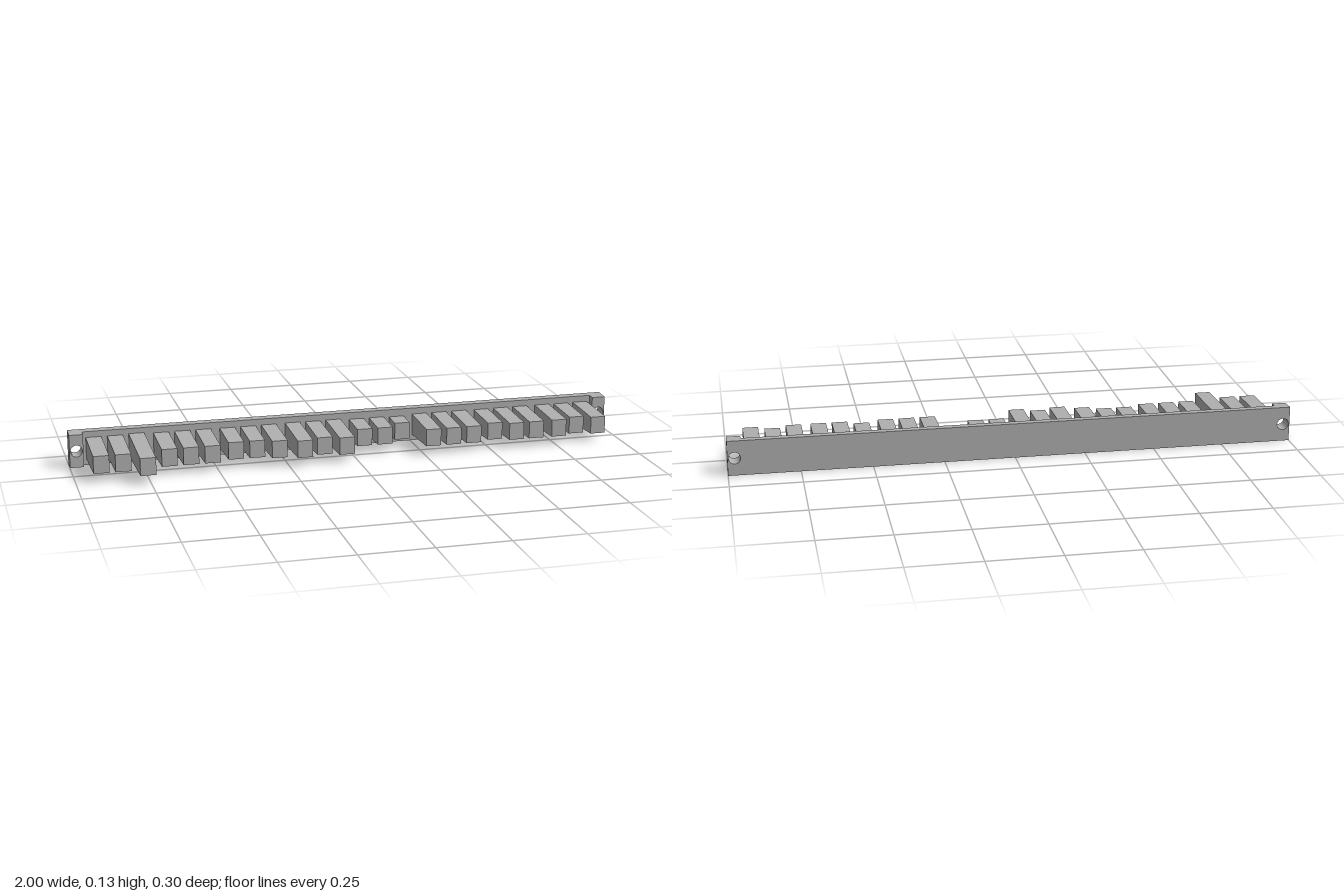
import * as THREE from 'three';

const MID = 0.063;              // height of the centre line
const BACK = -0.149, BAR_FRONT = -0.119, BLOCK_FRONT = -0.092;
const BAR_HALF = 0.063, BAR_DRAFT = 0.062;
const TOOTH_HALF = 0.031, TOOTH_DRAFT = 0.042, TOOTH_WIDTH = 0.055;

// Box from z0 to z1 whose top and bottom slope in towards the front
function draftedBox(width, z0, z1, halfBack, halfFront) {
  const geo = new THREE.BoxGeometry(width, 2, z1 - z0);
  geo.translate(0, 0, (z0 + z1) / 2);
  const p = geo.attributes.position;
  for (let i = 0; i < p.count; i++) {
    const half = p.getZ(i) > (z0 + z1) / 2 ? halfFront : halfBack;
    p.setY(i, MID + p.getY(i) * half);
  }
  geo.computeVertexNormals();
  return geo;
}

// End block with a round screw hole, drafted like the bar
function endBlockGeometry() {
  const depth = BLOCK_FRONT - BACK, w = 0.0245;
  const shape = new THREE.Shape();
  shape.moveTo(-w, -BAR_HALF);
  shape.lineTo(w, -BAR_HALF);
  shape.lineTo(w, BAR_HALF);
  shape.lineTo(-w, BAR_HALF);
  shape.closePath();
  const hole = new THREE.Path();
  hole.absarc(0, 0, 0.021, 0, Math.PI * 2, true);
  shape.holes.push(hole);
  const geo = new THREE.ExtrudeGeometry(shape, { depth, bevelEnabled: false, curveSegments: 16 });
  const p = geo.attributes.position;
  for (let i = 0; i < p.count; i++) {
    const y = p.getY(i);
    if (Math.abs(y) > 0.05) p.setY(i, y - Math.sign(y) * p.getZ(i) * BAR_DRAFT);
  }
  geo.translate(0, MID, BACK);
  geo.computeVertexNormals();
  return geo;
}

export function createModel() {
  const model = new THREE.Group();
  model.name = 'toothedBar';
  const grey = new THREE.MeshStandardMaterial({ color: 0xb0b0b0 });
  grey.name = 'plainGrey';

  const add = (name, geo, x = 0) => {
    const mesh = new THREE.Mesh(geo, grey);
    mesh.name = name;
    mesh.position.x = x;
    model.add(mesh);
  };

  // Long backing bar between the end blocks
  add('backBar', draftedBox(1.902, BACK, BAR_FRONT, BAR_HALF,
    BAR_HALF - (BAR_FRONT - BACK) * BAR_DRAFT));

  // Drilled end blocks
  const block = endBlockGeometry();
  add('leftEndBlock', block, 0.9755);
  add('rightEndBlock', block, -0.9755);

  // Teeth in eight groups of three, each reaching to its own front z
  const A = 0.15, B = 0.086, C = 0.065, D = 0.043, E = 0, F = -0.043;
  const fronts = [
    [B, B, A], [C, C, C], [D, D, C], [B, C, B],
    [E, E, F], [C, C, C], [D, C, C], [C, D, C],
  ];
  fronts.forEach((group, g) => group.forEach((front, t) => {
    const base = BAR_FRONT - 0.004;
    const halfBase = TOOTH_HALF + (front - base) * TOOTH_DRAFT;
    add('tooth' + (g * 3 + t + 1),
      draftedBox(TOOTH_WIDTH, base, front, halfBase, TOOTH_HALF),
      (g - 3.5) * 0.2388 + (t - 1) * 0.0757);
  }));
  return model;
}
